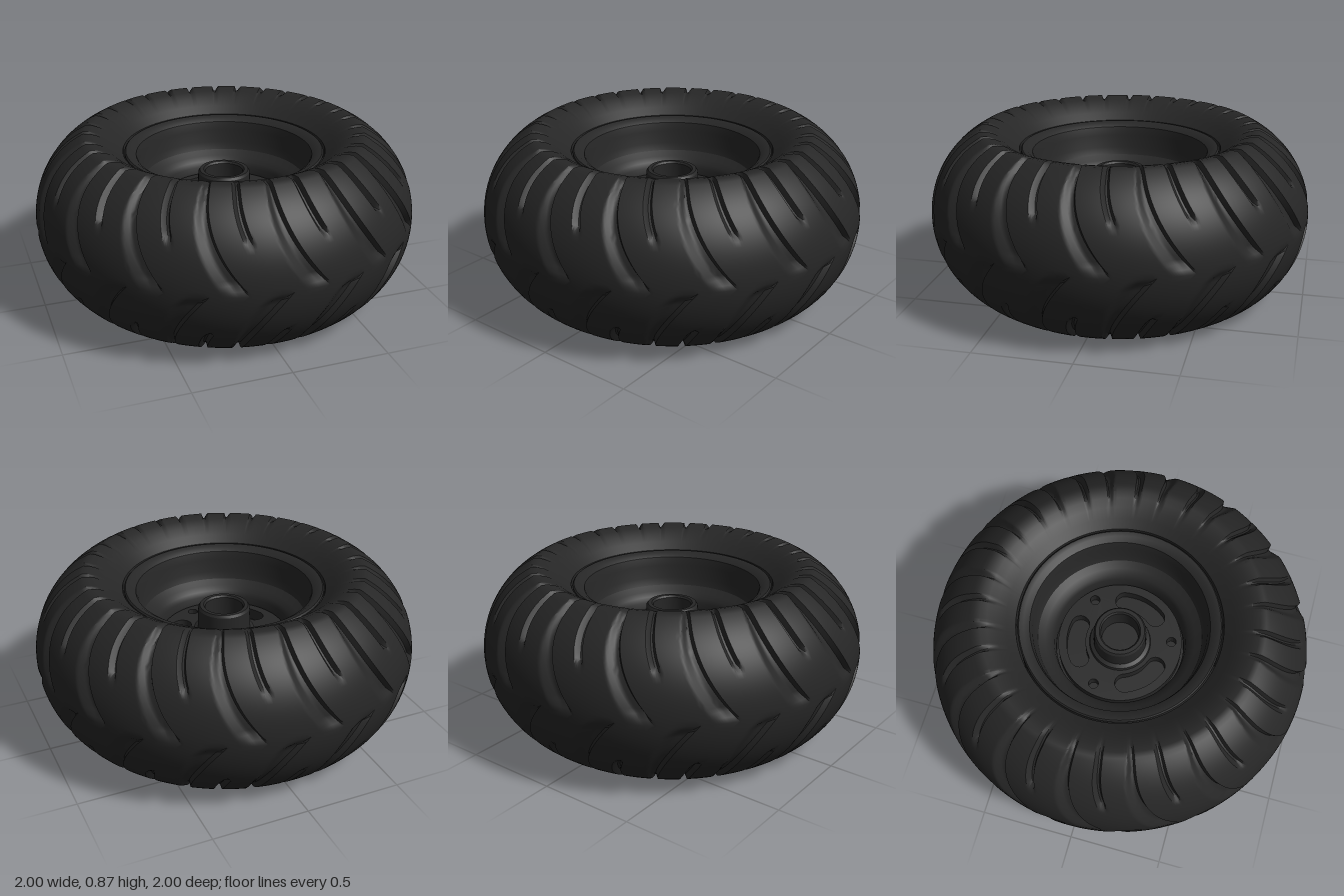
import * as THREE from 'three';
import { toCreasedNormals } from 'three/addons/utils/BufferGeometryUtils.js';

const MID = 0.435;
const material = new THREE.MeshStandardMaterial({ color: 0x262626 });

function part(name, geometry, crease = 0.6) {
  const mesh = new THREE.Mesh(toCreasedNormals(geometry, crease), material);
  mesh.name = name;
  return mesh;
}

const lathe = (points, segments = 96) =>
  new THREE.LatheGeometry(points.map(([r, y]) => new THREE.Vector2(r, y)), segments);

// Flat plate cut from a shape, lying between y and y + depth
function plate(shape, y, depth) {
  return new THREE.ExtrudeGeometry(shape, { depth, bevelEnabled: false, curveSegments: 32 })
    .rotateX(-Math.PI / 2).translate(0, y, 0);
}

function disc(radius) {
  const shape = new THREE.Shape();
  shape.absarc(0, 0, radius, 0, Math.PI * 2);
  return shape;
}

const polar = (r, a) => new THREE.Vector2(r * Math.cos(a), r * Math.sin(a));
const thirds = (degrees) => [0, 1, 2].map((i) => ((degrees + i * 120) * Math.PI) / 180);

// Curved slot with rounded ends
function arcSlot(angle, r, half, width) {
  const path = new THREE.Path();
  const w = width / 2, a = angle - half, b = angle + half;
  const endA = polar(r, a), endB = polar(r, b);
  path.absarc(0, 0, r + w, a, b, false);
  path.absarc(endB.x, endB.y, w, b, b + Math.PI, false);
  path.absarc(0, 0, r - w, b, a, true);
  path.absarc(endA.x, endA.y, w, a + Math.PI, a + Math.PI * 2, false);
  return path;
}

// Straight slot with rounded ends, square to the given direction
function straightSlot(angle, r, half, w) {
  const path = new THREE.Path();
  const c = polar(r, angle), d = polar(half, angle + Math.PI / 2);
  path.absarc(c.x + d.x, c.y + d.y, w, angle, angle + Math.PI, false);
  path.absarc(c.x - d.x, c.y - d.y, w, angle + Math.PI, angle + Math.PI * 2, false);
  return path;
}

// Tread: swept chevron grooves plus a short slit in the shoulder of each lug
function grooveDepth(f, a) {
  const fade = THREE.MathUtils.smoothstep(a, 0.01, 0.1);
  const cut = (g, width) => (g > 1 - width ? Math.min(1, (1.8 * (g - 1 + width)) / width) : 0);
  const long = cut(f, 0.32 - 0.2 * a) * fade;
  const short = cut((f + 0.55) % 1, 0.1) * THREE.MathUtils.smoothstep(a, 0.42, 0.52);
  return 0.026 * Math.max(long, short);
}

function tyreGeometry() {
  const LUGS = 16, PER = 32, COLS = LUGS * PER, ARC = 44;
  const rows = [];
  // Crown: one round arc from shoulder to shoulder
  const top = Math.asin(MID / 0.485);
  for (let j = 0; j <= ARC; j++) {
    const t = (j / ARC) * 2 - 1, q = t * top;
    rows.push({ r: 0.515 + 0.485 * Math.cos(q), y: MID + 0.485 * Math.sin(q), t, cut: 1,
      nr: Math.cos(q), ny: Math.sin(q) });
  }
  // Sidewalls fall in to the bead, joined by the inner wall
  const side = [[0.7, 0.433, 0.7], [0.665, 0.424, 0.2], [0.62, 0.402, 0], [0.575, 0.368, 0], [0.53, 0.332, 0]];
  const wall = (s) => ([r, h, cut]) => ({ r, y: MID + s * h, t: s, cut, nr: 0, ny: s });
  rows.push(...side.map(wall(1)), ...side.map(wall(-1)).reverse());

  const positions = [], index = [];
  for (const { r, y, t, cut, nr, ny } of rows) {
    const a = Math.abs(t);
    const sweep = -0.215 * (1 - Math.pow(1 - Math.min(1, a * 1.15), 2));
    for (let i = 0; i < COLS; i++) {
      const shift = t > 0 ? 0 : PER / 2;
      const f = ((i + shift) % PER) / PER;
      const d = cut * grooveDepth(f, a);
      const phi = (i / COLS) * Math.PI * 2 + sweep + 0.19;
      const radius = r - nr * d;
      positions.push(radius * Math.sin(phi), y - ny * d, radius * Math.cos(phi));
    }
  }
  for (let j = 0; j < rows.length; j++) {
    const k = (j + 1) % rows.length;
    for (let i = 0; i < COLS; i++) {
      const n = (i + 1) % COLS;
      const a = j * COLS + i, b = j * COLS + n, c = k * COLS + i, d = k * COLS + n;
      index.push(a, b, d, a, d, c);
    }
  }
  const geometry = new THREE.BufferGeometry();
  geometry.setAttribute('position', new THREE.Float32BufferAttribute(positions, 3));
  geometry.setIndex(index);
  return geometry;
}

export function createModel() {
  const model = new THREE.Group();
  model.name = 'wheel';
  model.add(part('tyre', tyreGeometry(), 0.7));

  // Rim: lipped barrel stepping in to the disc on both sides
  model.add(part('rim', lathe([
    [0.355, 0.265], [0.37, 0.23], [0.4, 0.205], [0.435, 0.185], [0.45, 0.16], [0.46, 0.125], [0.49, 0.102],
    [0.515, 0.098], [0.522, 0.105], [0.522, 0.762], [0.515, 0.769], [0.49, 0.765], [0.462, 0.745],
    [0.45, 0.7], [0.445, 0.63], [0.43, 0.59], [0.395, 0.565], [0.365, 0.545], [0.35, 0.52],
    [0.342, 0.46], [0.342, 0.3], [0.355, 0.265],
  ]), 0.5));

  // Upper wheel face with curved slots and bolt holes
  const face = disc(0.33);
  for (const a of thirds(105)) face.holes.push(arcSlot(a, 0.235, 0.42, 0.1));
  for (const a of thirds(45)) {
    const c = polar(0.275, a), hole = new THREE.Path();
    hole.absarc(c.x, c.y, 0.026, 0, Math.PI * 2);
    face.holes.push(hole);
  }
  model.add(part('wheelFace', plate(face, 0.43, 0.06)));
  model.add(part('wheelCore', new THREE.CylinderGeometry(0.345, 0.345, 0.12, 64).translate(0, 0.37, 0)));

  // Underside with three straight pockets around a triangular frame
  const back = disc(0.345);
  for (const a of thirds(105)) back.holes.push(straightSlot(a, 0.215, 0.15, 0.026));
  model.add(part('backPlate', plate(back, 0.275, 0.035)));
  const frame = new THREE.Shape(thirds(45).map((a) => polar(0.32, a)));
  frame.holes.push(new THREE.Path(thirds(45).map((a) => polar(0.25, a))));
  model.add(part('triangleFrame', plate(frame, 0.255, 0.025)));

  // Hub: open sleeve with a stepped foot
  model.add(part('hub', lathe([
    [0.165, 0.485], [0.16, 0.51], [0.14, 0.52], [0.137, 0.632], [0.128, 0.645],
    [0.108, 0.645], [0.1, 0.635], [0.098, 0.52], [0, 0.52],
  ], 48), 0.5));
  return model;
}
